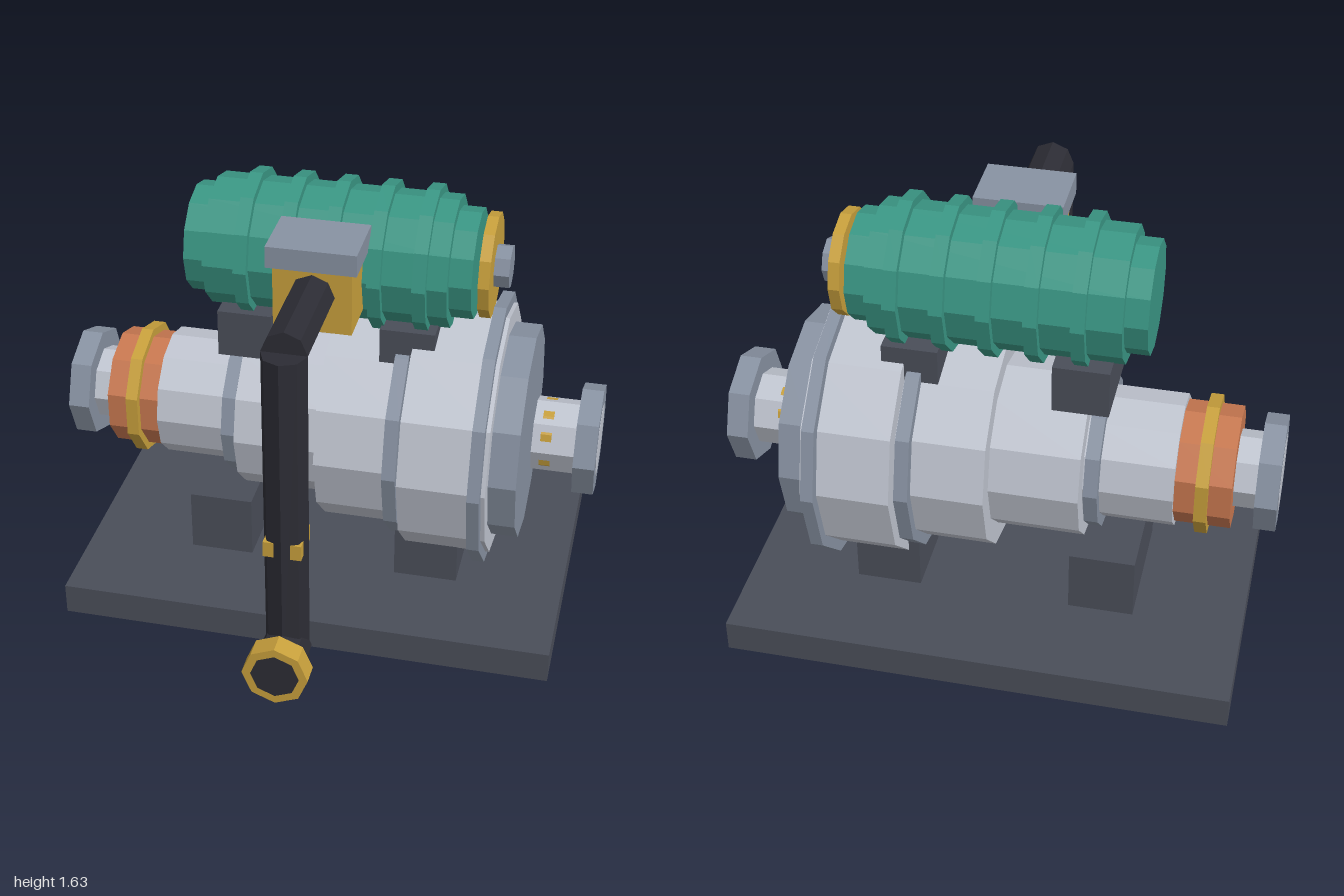
import * as THREE from 'three';

const mat = (name, color) => {
  const m = new THREE.MeshStandardMaterial({ color, flatShading: true });
  m.name = name;
  return m;
};

export function createModel() {
  const silver = mat('silver', 0xc0c5d0);
  const steel = mat('steel', 0x8892a2);
  const gold = mat('brass', 0xc8a03c);
  const copper = mat('copper', 0xc87850);
  const green = mat('green', 0x3a9684);
  const dark = mat('darkGrey', 0x4a4e59);
  const black = mat('black', 0x2c2c34);

  const model = new THREE.Group();
  model.name = 'pumpUnit';

  const group = (name, y, z) => {
    const g = new THREE.Group();
    g.name = name;
    g.position.set(0, y, z);
    model.add(g);
    return g;
  };
  const add = (parent, name, geometry, material) => {
    const m = new THREE.Mesh(geometry, material);
    m.name = name;
    parent.add(m);
    return m;
  };
  // Box given by its limits on each axis
  const box = (name, material, [x0, x1], [y0, y1], [z0, z1]) =>
    add(model, name, new THREE.BoxGeometry(x1 - x0, y1 - y0, z1 - z0), material)
      .position.set((x0 + x1) / 2, (y0 + y1) / 2, (z0 + z1) / 2);
  // Prism along x, with a corner pointing up
  const drum = (parent, name, material, x0, x1, r, sides = 12) => {
    const geo = new THREE.CylinderGeometry(r, r, x1 - x0, sides);
    geo.rotateZ(Math.PI / 2).rotateX(Math.PI / 2);
    add(parent, name, geo, material).position.x = (x0 + x1) / 2;
  };

  // Base plate, feet and tank saddles
  box('basePlate', dark, [-0.92, 0.92], [0, 0.12], [-0.8, 0.4]);
  for (const x of [-0.4, 0.4]) box('foot', dark, [x - 0.12, x + 0.12], [0.12, 0.36], [-0.44, 0.04]);
  for (const x of [-0.3, 0.3]) box('tankSaddle', dark, [x - 0.1, x + 0.1], [0.98, 1.16], [-0.4, 0]);

  // Stepped casing
  const casing = group('casing', 0.68, -0.2);
  [[-0.64, -0.32, 0.24], [-0.32, 0, 0.32], [0, 0.32, 0.4], [0.32, 0.64, 0.47]]
    .forEach(([a, b, r]) => drum(casing, 'casingStage', silver, a, b, r));
  [[-0.38, -0.33, 0.28], [0.26, 0.31, 0.44], [0.58, 0.625, 0.51]]
    .forEach(([a, b, r]) => drum(casing, 'casingFlange', steel, a, b, r));
  drum(casing, 'endCover', steel, 0.64, 0.74, 0.4);
  drum(casing, 'copperCoupling', copper, -0.84, -0.64, 0.22, 10);
  drum(casing, 'couplingRing', gold, -0.76, -0.715, 0.25, 10);

  // End pipes with flanges
  drum(casing, 'inletPipe', silver, -1, -0.76, 0.14, 8);
  drum(casing, 'inletFlange', steel, -0.999, -0.92, 0.21, 8);
  drum(casing, 'outletPipe', silver, 0.76, 1, 0.14, 8);
  drum(casing, 'outletFlange', steel, 0.92, 0.999, 0.21, 8);
  drum(casing, 'outletBand', gold, 0.79, 0.83, 0.134, 12);

  // Ribbed tank
  const tank = group('tank', 1.36, -0.2);
  drum(tank, 'tankCore', green, -0.52, 0.52, 0.2);
  drum(tank, 'tankBody', green, -0.44, 0.44, 0.24);
  for (let i = 0; i < 5; i++) {
    const x = -0.295 + i * 0.16;
    drum(tank, 'tankRib', green, x - 0.024, x + 0.024, 0.27);
  }
  drum(tank, 'tankCap', gold, 0.54, 0.58, 0.19);
  drum(tank, 'tankBolt', steel, 0.58, 0.635, 0.08, 8);

  // Valve block
  box('valveBlock', gold, [-0.14, 0.14], [1.24, 1.48], [-0.04, 0.2]);
  box('valveLid', steel, [-0.16, 0.16], [1.48, 1.56], [-0.02, 0.22]);

  // Drain pipe
  const alongZ = (name, material, y, z0, z1, r) =>
    add(model, name, new THREE.CylinderGeometry(r, r, z1 - z0, 8).rotateX(Math.PI / 2), material)
      .position.set(0, y, (z0 + z1) / 2);
  alongZ('drainPipeTop', black, 1.38, 0.18, 0.6, 0.08);
  add(model, 'drainPipe', new THREE.CylinderGeometry(0.08, 0.08, 1.285, 8), black)
    .position.set(0, 0.7375, 0.6);
  alongZ('drainSpout', black, 0.18, 0.6, 0.8, 0.088);
  alongZ('spoutNut', gold, 0.18, 0.72, 0.799, 0.12);
  box('pipeClamp', gold, [-0.068, 0.068], [0.6, 0.66], [0.532, 0.668]);

  return model;
}
